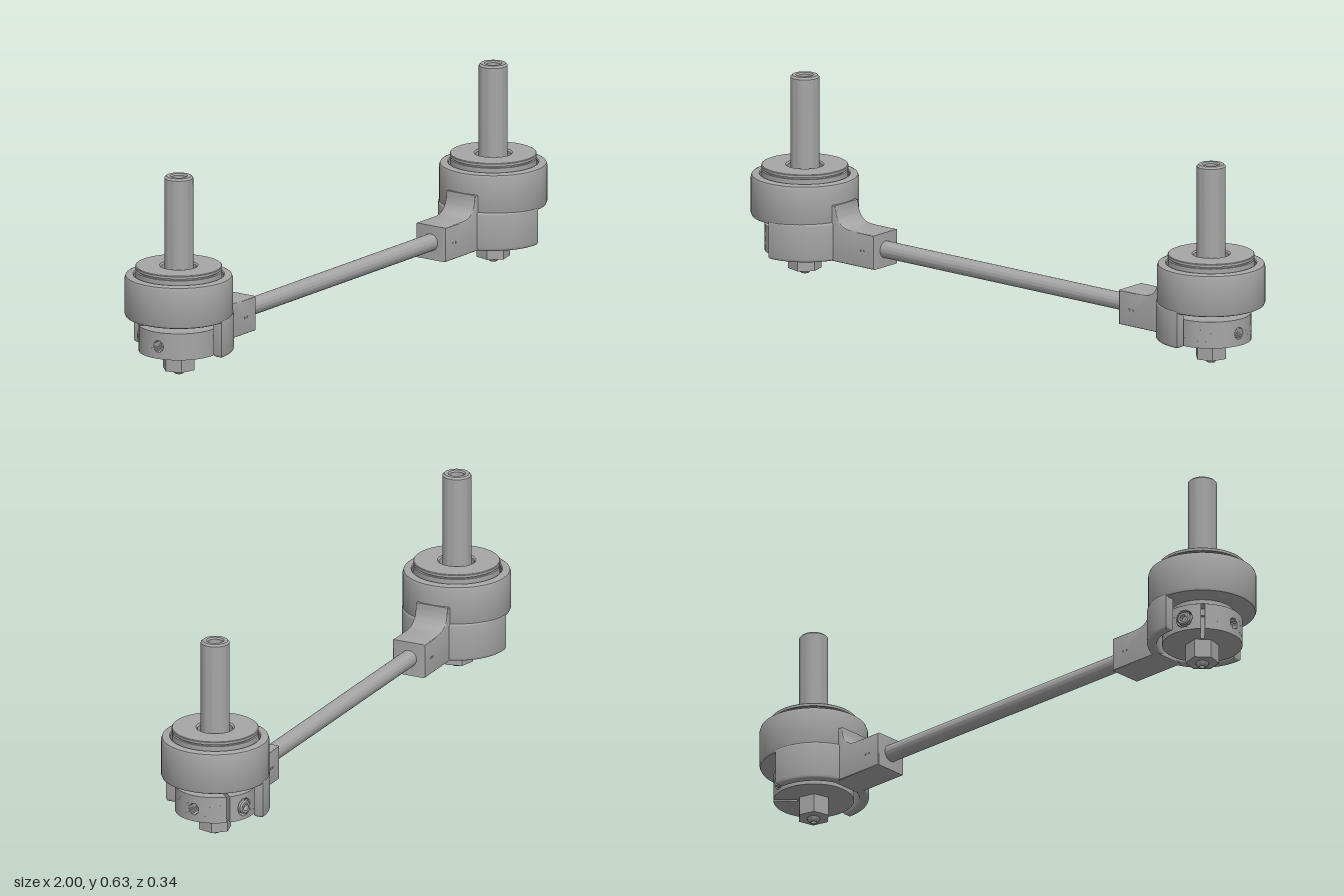
import * as THREE from 'three';
import { toCreasedNormals } from 'three/addons/utils/BufferGeometryUtils.js';

const HUB_X = 0.83;

export function createModel() {
  const model = new THREE.Group();
  model.name = 'linkRod';
  const steel = new THREE.MeshStandardMaterial({ color: 0xa6a6a6 });
  steel.name = 'steelGrey';

  const add = (parent, name, geometry) => {
    const mesh = new THREE.Mesh(toCreasedNormals(geometry, 0.5), steel);
    mesh.name = name;
    parent.add(mesh);
    return mesh;
  };
  // Profile of [radius, y] pairs, listed from the bottom axis outward and up
  const lathe = (points, segments = 56) =>
    new THREE.LatheGeometry(points.map(([r, y]) => new THREE.Vector2(r, y)), segments);
  // Extrude a plan shape upward; shape +y becomes -z
  const extrudeUp = (shape, y, depth, options = {}) =>
    new THREE.ExtrudeGeometry(shape, { depth, bevelEnabled: false, curveSegments: 40, ...options })
      .rotateX(-Math.PI / 2).translate(0, y, 0);

  // Round plan outline with radial notches { angle, half (width), depth (inner radius) }
  function notchedDisc(radius, notches) {
    const points = [];
    const polar = (a, r) => points.push(new THREE.Vector2(Math.cos(a) * r, Math.sin(a) * r));
    const cuts = notches.filter(n => n.half > 0.001).sort((a, b) => a.angle - b.angle);
    cuts.forEach((cut, i) => {
      const spread = Math.asin(cut.half / radius);
      polar(cut.angle - spread, radius);
      const inner = Math.asin(cut.half / cut.depth);
      polar(cut.angle - inner, cut.depth);
      polar(cut.angle + inner, cut.depth);
      const next = cuts[(i + 1) % cuts.length];
      const start = cut.angle + spread;
      const end = next.angle - Math.asin(next.half / radius) + (i === cuts.length - 1 ? Math.PI * 2 : 0);
      const steps = Math.max(2, Math.ceil((end - start) / 0.11));
      for (let k = 0; k < steps; k++) polar(start + (end - start) * k / steps, radius);
    });
    return new THREE.Shape(points);
  }

  // One end joint, facing +x; hand mirrors the clamp details in z
  function endJoint(hand) {
    const joint = new THREE.Group();
    joint.name = hand > 0 ? 'leftJoint' : 'rightJoint';

    // Hub with an open bore at the top
    add(joint, 'hub', lathe([[0, 0.185], [0.158, 0.185], [0.165, 0.188], [0.168, 0.195], [0.168, 0.308],
      [0.165, 0.317], [0.158, 0.32], [0.142, 0.32], [0.139, 0.317], [0.139, 0.3], [0, 0.3]], 72));
    add(joint, 'washer', lathe([[0.055, 0.3], [0.135, 0.3], [0.135, 0.333], [0.128, 0.333], [0.128, 0.338],
      [0.135, 0.338], [0.135, 0.346], [0.133, 0.348], [0.06, 0.348], [0.055, 0.344], [0.055, 0.3]]));
    add(joint, 'stud', lathe([[0, 0.295], [0.045, 0.295], [0.045, 0.629], [0.039, 0.635], [0.027, 0.635],
      [0.023, 0.63], [0.023, 0.59], [0, 0.585]], 40));

    // Half-ring skirt on the inner side
    const b = 0.01;
    const skirt = new THREE.Shape();
    skirt.absarc(0, 0, 0.168 - b, Math.PI / 2, Math.PI * 1.5, false);
    skirt.absarc(0, 0, 0.137 + b, Math.PI * 1.5, Math.PI / 2, true);
    add(joint, 'skirt', extrudeUp(skirt, 0.075 + b, 0.105,
      { bevelEnabled: true, bevelSize: b, bevelThickness: b, bevelSegments: 4 })).position.x = -0.005;

    // Arm with a fillet rising to the hub
    const arm = new THREE.Shape();
    arm.moveTo(-0.33 + 0.004, 0.079);
    arm.lineTo(-0.144, 0.079);
    arm.lineTo(-0.144, 0.25);
    arm.lineTo(-0.168, 0.25);
    arm.quadraticCurveTo(-0.17, 0.181, -0.235, 0.181);
    arm.lineTo(-0.33 + 0.004, 0.181);
    add(joint, 'arm', new THREE.ExtrudeGeometry(arm, {
      depth: 0.104, bevelSize: 0.004, bevelThickness: 0.004, bevelSegments: 3, curveSegments: 16,
    }).translate(0, 0, -0.052));
    for (const side of [-1, 1]) for (const x of [-0.273, -0.287]) {
      add(joint, 'armPin', new THREE.CylinderGeometry(0.004, 0.004, 0.002, 12)
        .rotateX(Math.PI / 2).translate(x, 0.128, side * 0.0565));
    }

    // Retaining plate and neck between hub and collar
    add(joint, 'retainingPlate', new THREE.CylinderGeometry(0.1, 0.1, 0.02, 48).translate(0, 0.182, 0));
    add(joint, 'neck', new THREE.CylinderGeometry(0.06, 0.06, 0.03, 40).translate(0, 0.165, 0));

    // Split clamp collar, layered so the side hole and screw pocket come out round
    const collar = new THREE.Group();
    collar.name = 'clampCollar';
    joint.add(collar);
    const levels = [0.075, 0.087, 0.092, 0.097, 0.102, 0.107, 0.112, 0.118, 0.123, 0.128, 0.133, 0.138, 0.143, 0.16];
    const chord = (r, dy) => Math.sqrt(Math.max(0, r * r - dy * dy));
    const screwAngle = 1.29 * hand;
    for (let i = 0; i < levels.length - 1; i++) {
      const dy = (levels[i] + levels[i + 1]) / 2 - 0.115;
      const shape = notchedDisc(0.125, [
        { angle: 0.8 * hand, half: 0.006, depth: 0.05 },
        { angle: -0.095 * hand, half: chord(0.0175, dy), depth: 0.08 },
        { angle: screwAngle, half: chord(0.028, dy), depth: 0.095 },
      ]);
      add(collar, 'collarLayer', extrudeUp(shape, levels[i], levels[i + 1] - levels[i]));
    }

    // Clamp screw with a socket, lying radially in its pocket
    const screw = add(joint, 'clampScrew', lathe([[0, 0.09], [0.022, 0.09], [0.022, 0.126], [0.018, 0.131],
      [0.011, 0.131], [0.011, 0.115], [0, 0.115]], 24));
    screw.rotation.set(0, screwAngle, -Math.PI / 2);
    screw.position.y = 0.115;

    // Hex nut and stud tip underneath
    add(joint, 'hexNut', new THREE.CylinderGeometry(0.052, 0.052, 0.061, 6, 1, false, 0.778)
      .rotateY(hand > 0 ? 0 : -2 * 0.778).translate(0, 0.0455, 0));
    add(joint, 'studTip', lathe([[0, 0.009], [0.008, 0.009], [0.009, 0.001], [0.012, 0], [0.017, 0.005],
      [0.021, 0.016]], 24));
    return joint;
  }

  // Mirrored pair of joints joined by the rod
  for (const side of [1, -1]) {
    const joint = endJoint(side);
    joint.position.x = side * HUB_X;
    joint.rotation.y = side > 0 ? 0 : Math.PI;
    model.add(joint);
  }
  add(model, 'rod', new THREE.CylinderGeometry(0.027, 0.027, 1.04, 32).rotateZ(Math.PI / 2).translate(0, 0.131, 0));
  return model;
}
